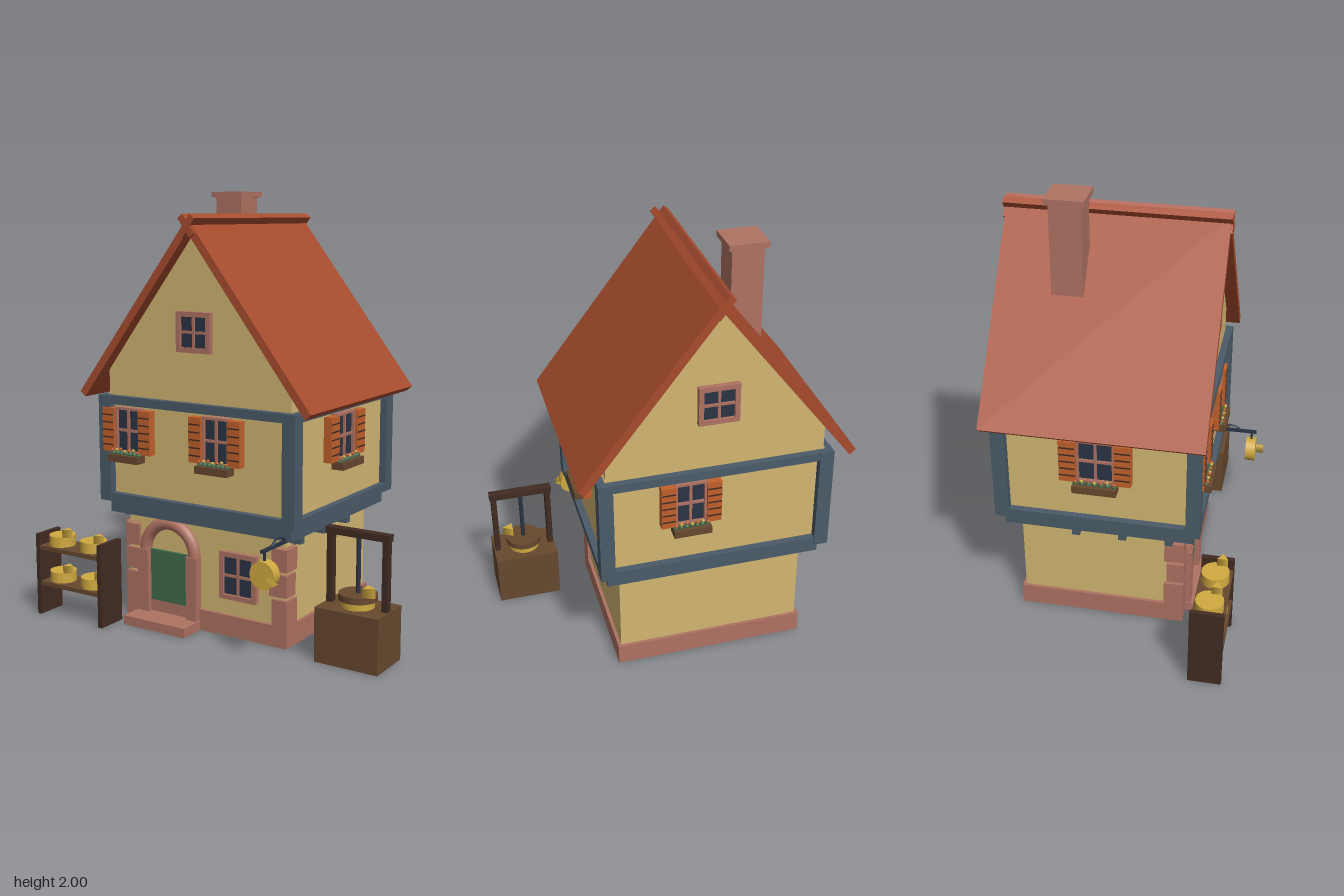
import * as THREE from 'three';

const mat = (name, color) => Object.assign(new THREE.MeshStandardMaterial({ color }), { name });
const M = {
  plaster: mat('plaster', 0xd2b672),
  roof: mat('roofTile', 0xa84c2e),
  stone: mat('pinkStone', 0xae7262),
  timber: mat('blueTimber', 0x4a5b68),
  glass: mat('darkGlassAndIron', 0x2b3444),
  orange: mat('orangePaint', 0xc2602b),
  brown: mat('brownWood', 0x66482e),
  dark: mat('darkWood', 0x412b22),
  cheese: mat('yellowCheese', 0xd0aa40),
  green: mat('green', 0x3f6d4b),
};

function add(parent, name, geo, material, x = 0, y = 0, z = 0) {
  const mesh = new THREE.Mesh(geo, material);
  mesh.name = name;
  mesh.position.set(x, y, z);
  parent.add(mesh);
  return mesh;
}
const box = (p, name, m, w, h, d, x, y, z) => add(p, name, new THREE.BoxGeometry(w, h, d), m, x, y, z);
// box given by its lower and upper y
const block = (p, name, m, w, d, y0, y1, x = 0, z = 0) => box(p, name, m, w, y1 - y0, d, x, (y0 + y1) / 2, z);

function group(parent, name, x = 0, y = 0, z = 0) {
  const g = new THREE.Group();
  g.name = name;
  g.position.set(x, y, z);
  parent.add(g);
  return g;
}

// flat outline extruded along z, centred on z = 0
function slab(points, depth) {
  const shape = new THREE.Shape(points.map(([x, y]) => new THREE.Vector2(x, y)));
  return new THREE.ExtrudeGeometry(shape, { depth, bevelEnabled: false }).translate(0, 0, -depth / 2);
}

// framed window with a cross of glazing bars, back plane at z = 0
function addWindow(parent, name, x, y, z, w, h, rim, depth) {
  const g = group(parent, name, x, y, z);
  box(g, 'glass', M.glass, w - rim, h - rim, depth * 0.5, 0, 0, depth * 0.25);
  for (const s of [-1, 1]) {
    box(g, 'frameSide', M.stone, rim, h, depth, s * (w - rim) / 2, 0, depth / 2);
    box(g, 'frameRail', M.stone, w, rim, depth, 0, s * (h - rim) / 2, depth / 2);
  }
  box(g, 'glazingBarUpright', M.stone, 0.012, h - rim, depth * 0.8, 0, 0, depth * 0.4);
  box(g, 'glazingBarCross', M.stone, w - rim, 0.012, depth * 0.8, 0, 0, depth * 0.4);
  return g;
}

// window with slatted shutters and a flower box
function addShutteredWindow(parent, x, z, turn, w, sw) {
  const g = addWindow(parent, 'shutteredWindow', x, 0.912, z, w, 0.215, 0.012, 0.03);
  g.rotation.y = turn;
  for (const s of [-1, 1]) {
    const sx = s * (w / 2 + sw / 2 - 0.002);
    box(g, 'shutter', M.orange, sw, 0.205, 0.04, sx, 0, 0.022);
    for (let i = -2; i <= 2; i++)
      box(g, 'shutterGroove', M.dark, sw * 0.92, 0.006, 0.006, sx, i * 0.035, 0.042);
  }
  const bw = w + 0.025;
  box(g, 'flowerBox', M.brown, bw, 0.034, 0.06, 0, -0.126, 0.04);
  for (let i = 0; i < 7; i++) {
    const fx = (i / 6 - 0.5) * (bw - 0.025);
    add(g, 'leaves', new THREE.IcosahedronGeometry(0.012, 1), M.green, fx, -0.105, 0.042);
    add(g, 'flower', new THREE.IcosahedronGeometry(0.0075, 1), i % 2 ? M.cheese : M.orange,
      fx, -0.092 + (i % 3) * 0.004, 0.05);
  }
}

// cheese wheel with a cut wedge lying at its edge
function addCheese(parent, x, y, z, scale = 1) {
  const g = group(parent, 'cheese', x, y, z);
  add(g, 'cheeseWheel', new THREE.CylinderGeometry(0.063, 0.063, 0.05, 32), M.cheese, 0, 0.025, 0);
  const wedge = add(g, 'cheeseWedge', new THREE.CylinderGeometry(0.028, 0.028, 0.038, 3), M.cheese, 0.056, 0.069, 0.025);
  wedge.rotation.y = Math.PI / 2;
  g.scale.setScalar(scale);
  return g;
}

function buildHouse(parent) {
  const h = group(parent, 'house', -0.055, 0, -0.07);

  // walls and stone base
  block(h, 'lowerWall', M.plaster, 0.86, 0.74, 0, 0.53);
  block(h, 'plinth', M.stone, 0.89, 0.77, 0.002, 0.10);
  block(h, 'upperWall', M.plaster, 0.99, 0.86, 0.56, 1.08);
  add(h, 'gableWall', slab([[-0.49, 1.06], [0.49, 1.06], [0.49, 1.185], [0, 1.825], [-0.49, 1.185]], 0.86), M.plaster);

  // timber frame
  block(h, 'jettyBeam', M.timber, 0.99, 0.86, 0.51, 0.575);
  for (const s of [-1, 1]) {
    for (const t of [-1, 1])
      block(h, 'cornerPost', M.timber, 0.065, 0.065, 0.57, 1.07, s * 0.4975, t * 0.4325);
    for (const y of [0.57, 1.03]) {
      block(h, 'sideRail', M.timber, 0.06, 0.86, y, y + 0.04, s * 0.497, 0);
      block(h, 'endRail', M.timber, 0.99, 0.06, y, y + 0.04, 0, s * 0.432);
    }
    for (const z of [0.32, 0.107, -0.105])
      block(h, 'joistEnd', M.timber, 0.07, 0.035, 0.475, 0.515, s * 0.45, z);
    // alternating corner stones
    for (let i = 0; i < 4; i++) {
      const w = i % 2 ? 0.09 : 0.078, d = i % 2 ? 0.078 : 0.09, y = 0.118 + i * 0.116 - (i ? 0 : 0.018);
      block(h, 'cornerStone', M.stone, w, d, y, Math.min(0.22 + i * 0.116, 0.51) - (i === 3 ? 0.05 : 0), s * (0.445 - w / 2), 0.385 - d / 2);
    }
  }

  // roof, crossed ridge boards, chimney
  add(h, 'roof', slab([[0, 1.82], [0.59, 1.058], [0.618, 1.082], [0, 1.88], [-0.618, 1.082], [-0.59, 1.058]], 0.978), M.roof);
  for (const s of [-1, 1])
    box(h, 'ridgeBoard', M.roof, 0.105, 0.032, 0.995, 0, 1.847, 0).rotation.z = s * 0.914;
  block(h, 'chimney', M.stone, 0.14, 0.14, 1.5, 1.98, -0.177, -0.17);
  block(h, 'chimneyCap', M.stone, 0.175, 0.175, 1.975, 2, -0.177, -0.17);

  // windows
  addWindow(h, 'gableWindow', 0, 1.385, 0.43, 0.18, 0.18, 0.022, 0.025);
  addWindow(h, 'gableWindow', 0, 1.385, -0.43, 0.18, 0.18, 0.022, 0.025).rotation.y = Math.PI;
  addWindow(h, 'lowerWindow', 0.192, 0.29, 0.37, 0.195, 0.22, 0.022, 0.025);
  addShutteredWindow(h, -0.367, 0.43, 0, 0.145, 0.065);
  addShutteredWindow(h, 0.121, 0.43, 0, 0.145, 0.065);
  addShutteredWindow(h, 0.121, -0.43, Math.PI, 0.145, 0.065);
  for (const s of [-1, 1]) addShutteredWindow(h, s * 0.495, 0, s * Math.PI / 2, 0.172, 0.076);

  // arched doorway with step
  const d = group(h, 'doorway', -0.19, 0, 0.37);
  block(d, 'door', M.green, 0.225, 0.03, 0.045, 0.345, 0, 0);
  for (const s of [-1, 1]) block(d, 'doorJamb', M.stone, 0.058, 0.08, 0.045, 0.345, s * 0.138, 0);
  add(d, 'doorArch', new THREE.TorusGeometry(0.138, 0.03, 12, 24, Math.PI), M.stone, 0, 0.343, 0.008);
  block(d, 'doorStep', M.stone, 0.345, 0.16, 0.001, 0.045, 0, 0.065);
}

// hanging cheese on an iron bracket
function buildSign(parent) {
  const g = group(parent, 'hangingSign', 0.405, 0, 0);
  box(g, 'bracketBar', M.glass, 0.014, 0.014, 0.25, 0, 0.508, 0.42);
  const arc = new THREE.TorusGeometry(0.05, 0.006, 8, 16, Math.PI).scale(1, 0.55, 1);
  add(g, 'bracketScroll', arc, M.glass, 0, 0.508, 0.41).rotation.y = Math.PI / 2;
  box(g, 'hanger', M.glass, 0.01, 0.06, 0.01, 0, 0.483, 0.522);
  addCheese(g, 0, 0.405, 0.497, 0.96).rotation.x = Math.PI / 2;
}

function buildShelf(parent) {
  const g = group(parent, 'cheeseShelf', -0.667, 0, 0.47);
  for (const s of [-1, 1]) block(g, 'shelfSide', M.dark, 0.022, 0.15, 0, 0.395, s * 0.187);
  for (const y of [0.165, 0.34]) {
    block(g, 'shelfBoard', M.brown, 0.36, 0.146, y - 0.02, y);
    for (const s of [-1, 1]) addCheese(g, s * 0.096, y, 0);
  }
}

function buildPress(parent) {
  const g = group(parent, 'cheesePress', 0.708, 0, 0.253);
  block(g, 'pressBase', M.brown, 0.302, 0.222, 0, 0.245);
  for (const s of [-1, 1]) block(g, 'pressPost', M.dark, 0.026, 0.036, 0.245, 0.555, s * 0.132);
  block(g, 'pressBeam', M.dark, 0.302, 0.042, 0.55, 0.58);
  add(g, 'pressScrew', new THREE.CylinderGeometry(0.01, 0.01, 0.25, 12), M.glass, 0, 0.43, 0);
  add(g, 'pressPlate', new THREE.CylinderGeometry(0.085, 0.085, 0.028, 32), M.brown, 0, 0.291, 0);
  addCheese(g, 0, 0.245, 0, 1.15);
}

export function createModel() {
  const model = new THREE.Group();
  model.name = 'cheeseShop';
  buildHouse(model);
  buildSign(model);
  buildShelf(model);
  buildPress(model);
  return model;
}
